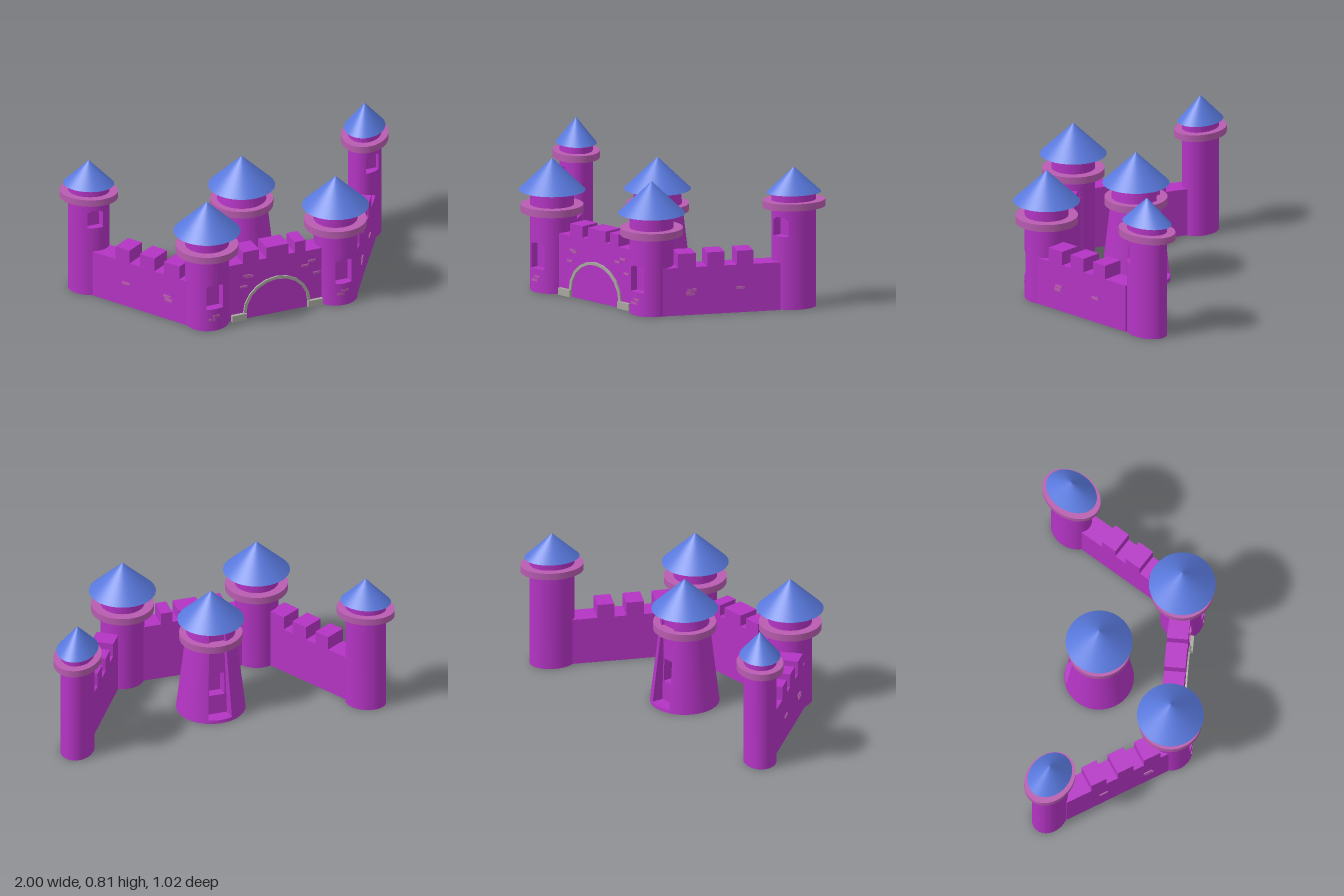
import * as THREE from 'three';
import { mergeGeometries, toCreasedNormals } from 'three/addons/utils/BufferGeometryUtils.js';

const material = (color) => new THREE.MeshStandardMaterial({ color });
const STONE = material(0xb434c4);
const TRIM = material(0xb85cb0);
const ROOF = material(0x5878dc);
const GREY = material(0xa8a8a0);

function add(parent, name, geometry, mat, x = 0, y = 0, z = 0) {
  const mesh = new THREE.Mesh(geometry, mat);
  mesh.name = name;
  mesh.position.set(x, y, z);
  parent.add(mesh);
  return mesh;
}

// Horizontal slice of a shaft: an ellipse with recesses [halfWidth, backZ] cut into its +z face
function slab(y0, y1, [a, b, turn], recesses = []) {
  const points = [];
  for (let i = 0; i < 120; i++) {
    const t = (i / 120) * Math.PI * 2;
    const u = a * Math.cos(t), v = b * Math.sin(t);
    const x = u * Math.cos(turn) + v * Math.sin(turn);
    let z = -u * Math.sin(turn) + v * Math.cos(turn);
    for (const [w, back] of recesses) if (z > 0 && Math.abs(x) < w) z = Math.min(z, back);
    points.push(new THREE.Vector2(x, -z));
  }
  const g = new THREE.ExtrudeGeometry(new THREE.Shape(points), { depth: y1 - y0, bevelEnabled: false });
  return g.rotateX(-Math.PI / 2).translate(0, y0, 0);
}

// Straight shaft with an arched window niche
function windowShaft(height, ellipse, sill, top, halfWidth, back) {
  const spring = top - 0.022;
  const slabs = [slab(0, sill, ellipse), slab(sill, spring, ellipse, [[halfWidth, back]])];
  const steps = 4;
  for (let i = 0; i < steps; i++) {
    const w = halfWidth * Math.sqrt(1 - ((i + 0.5) / steps) ** 2);
    slabs.push(slab(spring + (0.022 * i) / steps, spring + (0.022 * (i + 1)) / steps, ellipse, [[w, back]]));
  }
  slabs.push(slab(top, height, ellipse));
  return toCreasedNormals(mergeGeometries(slabs), 0.5);
}

// Tapered shaft with a tall slot and a deeper window inside it
function taperedShaft(height, bottom, top) {
  const e = [bottom, bottom, 0];
  const slot = [0.065, 0.116], niche = [0.045, 0.06];
  const g = mergeGeometries([
    slab(0, 0.02, e), slab(0.02, 0.14, e, [slot]), slab(0.14, 0.28, e, [slot, niche]),
    slab(0.28, 0.55, e, [slot]), slab(0.55, height, e),
  ]);
  const p = g.attributes.position;
  for (let i = 0; i < p.count; i++) {
    const x = p.getX(i), z = p.getZ(i);
    const k = 1 + (top / bottom - 1) * (p.getY(i) / height);
    const outer = Math.hypot(x, z) > bottom - 0.002;
    p.setX(i, x * k);
    if (outer) p.setZ(i, z * k);
  }
  return toCreasedNormals(g, 0.5).rotateY(Math.PI);
}

// Collar and conical roof shared by all towers
function crown(tower, [a, b, turn], ringScale, ringY, ringH, roofScale, eaves, peak) {
  const fit = (g, s) => g.scale(a * s, 1, b * s).rotateY(turn);
  add(tower, 'collar', fit(new THREE.CylinderGeometry(1, 1, ringH, 64), ringScale), TRIM, 0, ringY, 0);
  add(tower, 'roof', fit(new THREE.ConeGeometry(1, peak - eaves, 64), roofScale), ROOF, 0, (eaves + peak) / 2, 0);
}

function group(parent, name, x, z) {
  const g = new THREE.Group();
  g.name = name;
  g.position.set(x, 0, z);
  parent.add(g);
  return g;
}

// Crenellated wall: profile of [along, height] points, centred on its thickness
function wallGeometry(profile, thickness) {
  const shape = new THREE.Shape(profile.map(([x, y]) => new THREE.Vector2(x, y)));
  return new THREE.ExtrudeGeometry(shape, { depth: thickness, bevelEnabled: false }).translate(0, 0, -thickness / 2);
}

export function createModel() {
  const castle = new THREE.Group();
  castle.name = 'castle';

  // Front towers
  for (const [name, x] of [['frontTowerRight', -0.4], ['frontTowerLeft', 0.385]]) {
    const tower = group(castle, name, x, 0.32);
    const e = [0.123, 0.123, 0];
    add(tower, 'shaft', windowShaft(0.58, e, 0.135, 0.285, 0.05, 0.07), STONE);
    crown(tower, e, 1.43, 0.47, 0.042, 1.525, 0.573, 0.755);
    for (const [bx, by] of [[-0.018, 0.07], [0.005, 0.092]]) {
      add(tower, 'brick', new THREE.BoxGeometry(0.04, 0.014, 0.02), TRIM, bx, by, 0.114);
    }
  }

  // Rear towers, slightly oval
  const rear = [
    ['rearTowerRight', -0.845, -0.32, [0.116, 0.092, -0.56], 0.055],
    ['rearTowerLeft', 0.85, -0.343, [0.126, 0.093, 1.013], 0.065],
  ];
  for (const [name, x, z, e, back] of rear) {
    const tower = group(castle, name, x, z);
    add(tower, 'shaft', windowShaft(0.665, e, 0.42, 0.53, 0.041, back), STONE);
    crown(tower, e, 1.42, 0.597, 0.04, 1.235, 0.66, 0.805);
  }

  // Central keep
  const keep = group(castle, 'keep', 0, -0.115);
  add(keep, 'shaft', taperedShaft(0.58, 0.195, 0.128), STONE);
  crown(keep, [0.123, 0.123, 0], 1.44, 0.47, 0.042, 1.525, 0.573, 0.755);

  // Gate wall with raised battlements
  const gate = group(castle, 'gateWall', 0, 0.316);
  add(gate, 'wall', wallGeometry([
    [-0.4, 0], [0.39, 0], [0.39, 0.35], [0.178, 0.35], [0.178, 0.42], [0.112, 0.42], [0.112, 0.355],
    [0.075, 0.355], [0.075, 0.42], [-0.06, 0.42], [-0.06, 0.355], [-0.105, 0.355], [-0.105, 0.42],
    [-0.203, 0.42], [-0.203, 0.35], [-0.4, 0.35],
  ], 0.12), STONE);

  // Gate arch trim and its feet
  const outer = [], inner = [];
  for (let i = 0; i <= 10; i++) {
    const t = (i / 10) * Math.PI, c = Math.cos(t), s = Math.sin(t);
    outer.push(new THREE.Vector2(0.205 * c, 0.035 + 0.197 * s));
    inner.unshift(new THREE.Vector2(0.188 * c, 0.035 + 0.18 * s));
  }
  const arch = new THREE.Shape([...outer, ...inner]);
  add(gate, 'archTrim', new THREE.ExtrudeGeometry(arch, { depth: 0.02, bevelEnabled: false }), GREY, 0, 0, 0.05);
  for (const side of [-1, 1]) {
    add(gate, 'archFoot', new THREE.BoxGeometry(0.09, 0.04, 0.05), GREY, side * 0.232, 0.02, 0.055);
  }

  // Raised bricks on the gate wall
  const bricks = [[-0.165, 0.262], [-0.2, 0.205], [0.215, 0.285], [0.175, 0.262], [0.245, 0.205], [-0.18, 0.27]];
  for (const [x, y] of bricks) add(gate, 'brick', new THREE.BoxGeometry(0.042, 0.012, 0.012), TRIM, x, y, 0.061);

  // Angled side walls: three merlons each
  const length = 0.68;
  const profile = [[0, 0], [length, 0], [length, 0.275]];
  for (const [s0, s1] of [[0.43, 0.525], [0.26, 0.36], [0.09, 0.195]]) {
    profile.push([s1, 0.275], [s1, 0.355], [s0, 0.355], [s0, 0.275]);
  }
  profile.push([0, 0.275]);
  for (const side of [1, -1]) {
    const wall = group(castle, side > 0 ? 'sideWallLeft' : 'sideWallRight', side * 0.449, 0.321);
    wall.rotation.y = side > 0 ? 1.011 : Math.PI - 1.011;
    add(wall, 'wall', wallGeometry(profile, 0.125), STONE);
    for (const [s, y] of [[0.172, 0.143], [0.162, 0.122], [0.45, 0.143]]) {
      add(wall, 'brick', new THREE.BoxGeometry(0.05, 0.015, 0.012), TRIM, s, y, side * 0.063);
    }
  }
  return castle;
}
